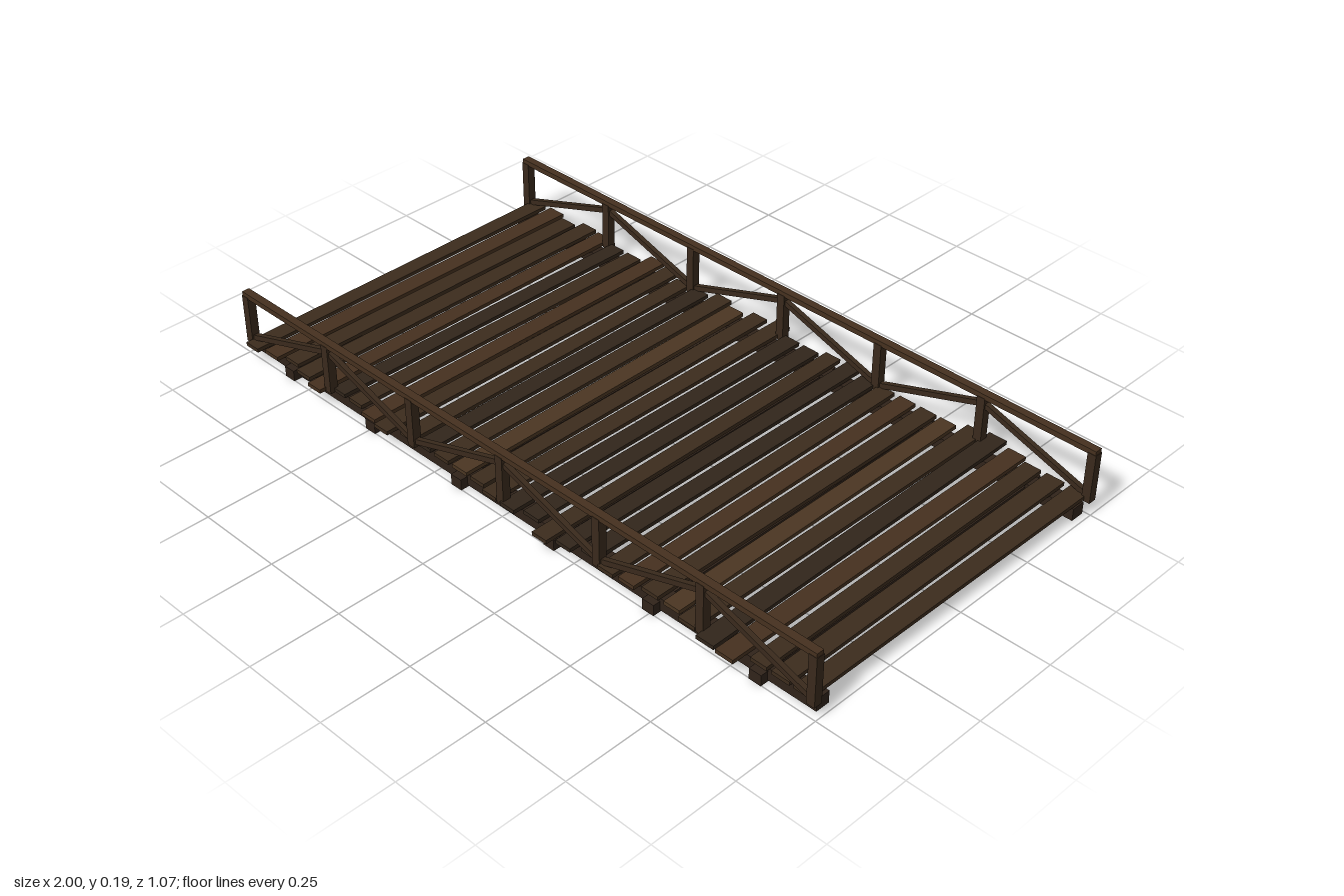
import * as THREE from 'three';

const material = (color) => new THREE.MeshStandardMaterial({ color, roughness: 0.9, flatShading: true });

export function createModel() {
  const model = new THREE.Group();
  const timber = material(0x3a2a1c);
  const darkTimber = material(0x30231a);
  const plankTones = [0x3c2c1d, 0x46311f, 0x32261b, 0x4b3622].map(material);

  let seed = 17;
  const random = () => (seed = (seed * 16807) % 2147483647) / 2147483647;

  const box = (name, size, position, mat, parent = model) => {
    const mesh = new THREE.Mesh(new THREE.BoxGeometry(...size), mat);
    mesh.name = name;
    mesh.position.set(...position);
    parent.add(mesh);
    return mesh;
  };

  // cross beams under the deck
  for (let i = 0; i < 6; i++) {
    box('crossBeam', [0.036, 0.031, 1.01], [-0.825 + i * 0.33, 0.0155, -0.003], darkTimber);
  }

  // long stringers carrying the planks
  for (const z of [0.46, -0.466]) {
    box('stringer', [1.97, 0.035, 0.041], [0, 0.0225, z], darkTimber);
  }

  // deck planks with uneven ends: plank index -> overhang at the back and front
  const back = { 0: 0.515, 1: 0.52, 3: 0.525, 4: 0.52, 7: 0.535, 8: 0.53, 11: 0.525, 13: 0.525, 14: 0.538,
    17: 0.52, 18: 0.53, 24: 0.525, 25: 0.537, 26: 0.52, 29: 0.52 };
  const front = { 0: 0.523, 1: 0.51, 3: 0.508, 4: 0.525, 7: 0.508, 8: 0.52, 14: 0.508, 15: 0.51, 17: 0.532,
    18: 0.515, 20: 0.51, 21: 0.505, 24: 0.508, 25: 0.525, 26: 0.527 };
  const deck = new THREE.Group();
  deck.name = 'deck';
  model.add(deck);
  const tones = [0, 1, 0, 0, 1, 2, 0, 1, 0, 0, 2, 0, 3, 0, 0, 2, 2, 0, 2, 2, 0, 1, 0, 3, 0, 2, 1, 0, 0, 0];
  for (let i = 0; i < 30; i++) {
    const zBack = -(back[i] ?? 0.502), zFront = front[i] ?? 0.492;
    const plank = box('plank', [0.048 + random() * 0.006, 0.011, zFront - zBack],
      [-0.956 + i * 0.0659, 0.0475 + (random() - 0.5) * 0.002, (zFront + zBack) / 2],
      plankTones[tones[i]], deck);
    plank.rotation.y = (random() - 0.5) * 0.014;
  }

  // side railings: posts, top rail and diagonal braces
  for (const [name, z] of [['frontRailing', 0.493], ['backRailing', -0.501]]) {
    const railing = new THREE.Group();
    railing.name = name;
    railing.position.z = z;
    model.add(railing);
    for (let i = -3; i <= 3; i++) {
      box('post', [0.024, 0.142, 0.024], [i * 0.329, 0.111, 0], timber, railing);
    }
    box('topRail', [1.995, 0.015, 0.022], [0, 0.186, 0], plankTones[1], railing);
    for (const apex of [-0.658, 0, 0.658]) {
      for (const side of [-1, 1]) {
        const dx = side * 0.327, dy = -0.107;
        const brace = box('brace', [Math.hypot(dx, dy), 0.015, 0.014],
          [apex + dx / 2, 0.161 + dy / 2, 0], timber, railing);
        brace.rotation.z = Math.atan(dy / dx);
      }
    }
  }

  return model;
}
